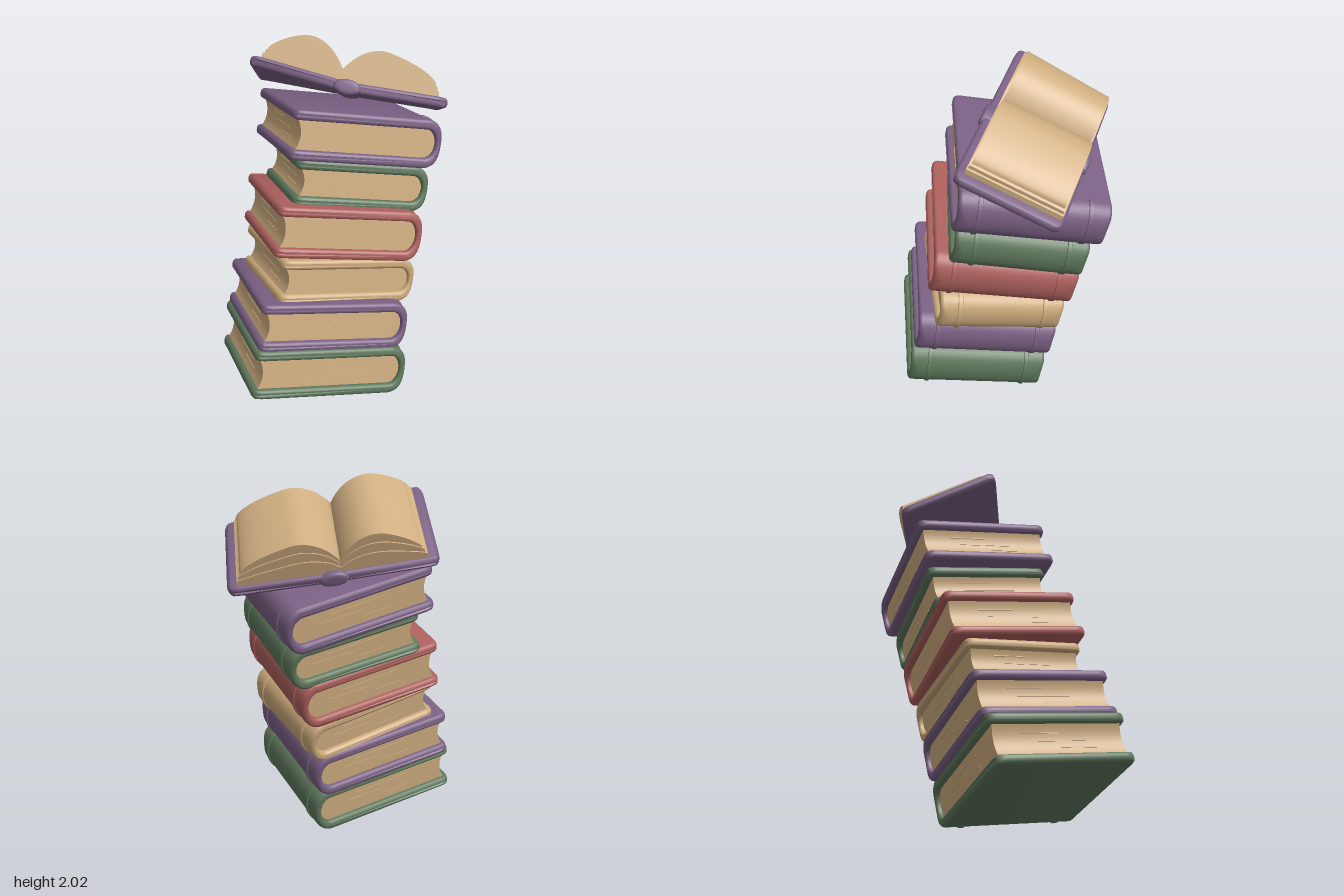
import * as THREE from 'three';
import { toCreasedNormals } from 'three/addons/utils/BufferGeometryUtils.js';

const mat = (name, color) => {
  const m = new THREE.MeshStandardMaterial({ color });
  m.name = name;
  return m;
};
const rad = THREE.MathUtils.degToRad;

// Extrude an outline along z, centred, with soft edges
function solid(shape, length, bevel = 0) {
  const pts = [];
  for (const p of shape.getPoints(10)) {
    if (!pts.length || p.distanceTo(pts[pts.length - 1]) > 1e-4) pts.push(p);
  }
  if (pts[0].distanceTo(pts[pts.length - 1]) < 1e-4) pts.pop();
  const geo = new THREE.ExtrudeGeometry(new THREE.Shape(pts), {
    depth: length - 2 * bevel, bevelEnabled: bevel > 0, bevelThickness: bevel,
    bevelSize: bevel, bevelOffset: -bevel, bevelSegments: 3, steps: 1,
  });
  geo.translate(0, 0, bevel - length / 2);
  return geo;
}

// Pull in the ends near both x edges so that the corners are round in plan
function roundCorners(geo, edgeX, r) {
  const p = geo.attributes.position;
  for (let i = 0; i < p.count; i++) {
    const d = Math.min(r, Math.max(0, r + Math.abs(p.getX(i)) - edgeX));
    const z = p.getZ(i);
    p.setZ(i, z - Math.sign(z) * (r - Math.sqrt(r * r - d * d)));
  }
  return geo;
}

// Let the outer rear corner of the left board and its pages sag
function sag(geo) {
  const p = geo.attributes.position;
  for (let i = 0; i < p.count; i++) {
    const out = Math.max(0, -p.getX(i)) / 0.54;
    p.setY(i, p.getY(i) - 0.055 * out * (0.5 - p.getZ(i) / 0.58));
  }
  return geo;
}

function add(parent, name, geo, material) {
  const mesh = new THREE.Mesh(toCreasedNormals(geo, 0.8), material);
  mesh.name = name;
  parent.add(mesh);
  return mesh;
}

// U-shaped cover: two boards joined by a rounded spine at +x
function coverShape(W, T, t, rx) {
  const s = new THREE.Shape(), h = t / 2, x0 = -W / 2 + h, x1 = W / 2 - rx, c = x0 + 0.03;
  s.moveTo(x0, T / 2);
  s.lineTo(c, T / 2);
  s.lineTo(x1, T / 2);
  s.absellipse(x1, 0, rx, T / 2, Math.PI / 2, -Math.PI / 2, true);
  s.lineTo(c, -T / 2);
  s.lineTo(x0, -T / 2);
  s.absarc(x0, -T / 2 + h, h, -Math.PI / 2, Math.PI / 2, true);
  s.lineTo(c, -T / 2 + t);
  s.lineTo(x1, -T / 2 + t);
  s.absellipse(x1, 0, rx - t + 0.01, T / 2 - t, -Math.PI / 2, Math.PI / 2, false);
  s.lineTo(c, T / 2 - t);
  s.lineTo(x0, T / 2 - t);
  s.absarc(x0, T / 2 - h, h, -Math.PI / 2, Math.PI / 2, true);
  return s;
}

// Page block with a hollow fore-edge and a rounded back
function pageShape(W, T, t, rx) {
  const s = new THREE.Shape(), y = T / 2 - t + 0.006, x0 = -W / 2 + 0.032, x1 = W / 2 - rx;
  s.moveTo(x0, y);
  s.lineTo(x1, y);
  s.absellipse(x1, 0, rx - t + 0.016, y, Math.PI / 2, -Math.PI / 2, true);
  s.lineTo(x0, -y);
  s.quadraticCurveTo(x0 + 0.05, 0, x0, y);
  return s;
}

// Slim raised band around the spine
function bandShape(W, T, rx) {
  const s = new THREE.Shape(), x1 = W / 2 - rx, e = 0.007;
  s.moveTo(x1 - 0.02, T / 2 - 0.01);
  s.lineTo(x1, T / 2 + e);
  s.absellipse(x1, 0, rx + e, T / 2 + e, Math.PI / 2, -Math.PI / 2, true);
  s.lineTo(x1 - 0.02, -T / 2 + 0.01);
  s.absellipse(x1, 0, rx - 0.012, T / 2 - 0.012, -Math.PI / 2, Math.PI / 2, false);
  return s;
}

function closedBook(W, L, T, cover, paper) {
  const book = new THREE.Group(), t = 0.055, rx = 0.105;
  add(book, 'cover', roundCorners(solid(coverShape(W, T, t, rx), L, 0.018), W / 2, 0.05), cover);
  const pageL = L - 0.06;
  add(book, 'pages', solid(pageShape(W, T, t, rx), pageL), paper);
  for (const z of [-1, 1]) {
    add(book, 'spineBand', solid(bandShape(W, T, rx), 0.025, 0.005), cover)
      .position.z = z * (L / 2 - 0.11);
    // Raised leaves at head and tail
    for (let i = 0; i < 3; i++) {
      const leaf = add(book, 'raisedLeaf', new THREE.BoxGeometry(0.16 + 0.08 * i, 0.004, 0.006), paper);
      leaf.position.set(-0.1 + 0.11 * ((i * 2) % 3), (i - 1) * 0.038, z * pageL / 2);
      leaf.rotation.z = 0.02 * (i % 2 ? 1 : -1);
    }
  }
  // Raised leaves on the hollow fore-edge
  for (let i = 0; i < 3; i++) {
    const y = (i - 1) * 0.04, k = y / (T / 2 - t);
    const leaf = add(book, 'raisedLeaf', new THREE.BoxGeometry(0.006, 0.004, 0.2 + 0.1 * (i % 2)), paper);
    leaf.position.set(-W / 2 + 0.032 + 0.025 * (1 - k * k), y, 0.1 * (1 - i));
  }
  return book;
}

// Half of an open page block; side is -1 or 1, f the height share of this layer
function openPageShape(side, f, outer) {
  const s = new THREE.Shape(), b = 0.02, g = -0.045;
  s.moveTo(g, b);
  s.lineTo(g, b + 0.07 * f);
  s.bezierCurveTo(g + side * 0.06, b + 0.17 * f, g + side * 0.15, b + 0.225 * f,
    g + side * 0.24, b + 0.205 * f);
  s.quadraticCurveTo(side * (outer - 0.06), b + 0.17 * f, side * outer, b + 0.025 + 0.08 * f);
  s.lineTo(side * (outer + 0.008), b + 0.025);
  return s;
}

function openBook(cover, paper) {
  const book = new THREE.Group(), w = 0.54, h = 0.028, rise = 0.03;
  // Boards spread in a shallow V
  const s = new THREE.Shape();
  s.moveTo(0, h);
  s.lineTo(w - 0.06, h + rise);
  s.lineTo(w - h, h + rise);
  s.absarc(w - h, rise, h, Math.PI / 2, -Math.PI / 2, true);
  s.lineTo(w - 0.06, rise - h);
  s.lineTo(0, -h);
  s.lineTo(-w + 0.06, rise - h);
  s.lineTo(-w + h, rise - h);
  s.absarc(-w + h, rise, h, -Math.PI / 2, Math.PI / 2, true);
  s.lineTo(-w + 0.06, h + rise);
  add(book, 'openCover', sag(roundCorners(solid(s, 0.58, 0.018), w, 0.05)), cover);
  // Thick rounded spine
  const spine = new THREE.Shape();
  spine.absellipse(0, 0, 0.075, 0.042, 0, Math.PI * 2);
  add(book, 'openSpine', solid(spine, 0.61, 0.018), cover);
  // Stepped layers of pages on both sides
  const layers = [[0.5, 0.48, 0.52], [0.76, 0.468, 0.507], [1, 0.456, 0.494]];
  for (const side of [-1, 1]) {
    for (const [f, outer, len] of layers) {
      const geo = solid(openPageShape(side, f, outer), len).translate(0, 0, -0.01);
      add(book, 'openPages', sag(geo), paper);
    }
  }
  return book;
}

export function createModel() {
  const model = new THREE.Group();
  model.name = 'bookStack';
  const paper = mat('paper', 0xcfad80);
  const green = mat('greenCover', 0x5f785d);
  const purple = mat('purpleCover', 0x7a6084);
  const red = mat('redCover', 0xac605d);
  const tan = mat('tanCover', 0xcaa87a);

  // Leaning pile: [name, colour, width, length, thickness, x, y, z, yaw, extra tilt]
  const pile = new THREE.Group();
  pile.name = 'leaningPile';
  pile.rotation.x = rad(-12);
  model.add(pile);
  const books = [
    ['greenBottomBook', green, 0.89, 0.785, 0.28, 0.02, 0.19, 0.237, 48, 0],
    ['purpleLowerBook', purple, 0.855, 0.79, 0.27, 0.005, 0.453, 0.225, 48, 0.5],
    ['tanBook', tan, 0.8, 0.7, 0.25, 0.02, 0.69, 0.165, 51, 1],
    ['redBook', red, 0.835, 0.79, 0.28, 0.01, 0.965, 0.173, 47, 2.3],
    ['greenUpperBook', green, 0.765, 0.71, 0.255, 0.025, 1.212, 0.09, 46, 2.5],
    ['purpleUpperBook', purple, 0.855, 0.785, 0.267, 0.005, 1.471, 0.1, 47.5, 3],
  ];
  for (const [name, color, W, L, T, x, y, z, yaw, tilt] of books) {
    const book = closedBook(W, L, T, color, paper);
    book.name = name;
    book.position.set(x, y, z);
    book.rotation.set(rad(-tilt), rad(yaw), rad(1), 'ZXY');
    pile.add(book);
  }

  // Open book lying on top
  const open = openBook(purple, paper);
  open.name = 'openBook';
  open.position.set(-0.015, 1.664, -0.258);
  open.rotation.set(rad(-25), rad(26), 0);
  model.add(open);

  // Stand the pile on the ground
  model.updateMatrixWorld(true);
  const lift = -new THREE.Box3().setFromObject(model, true).min.y;
  for (const part of model.children) part.position.y += lift;
  return model;
}
